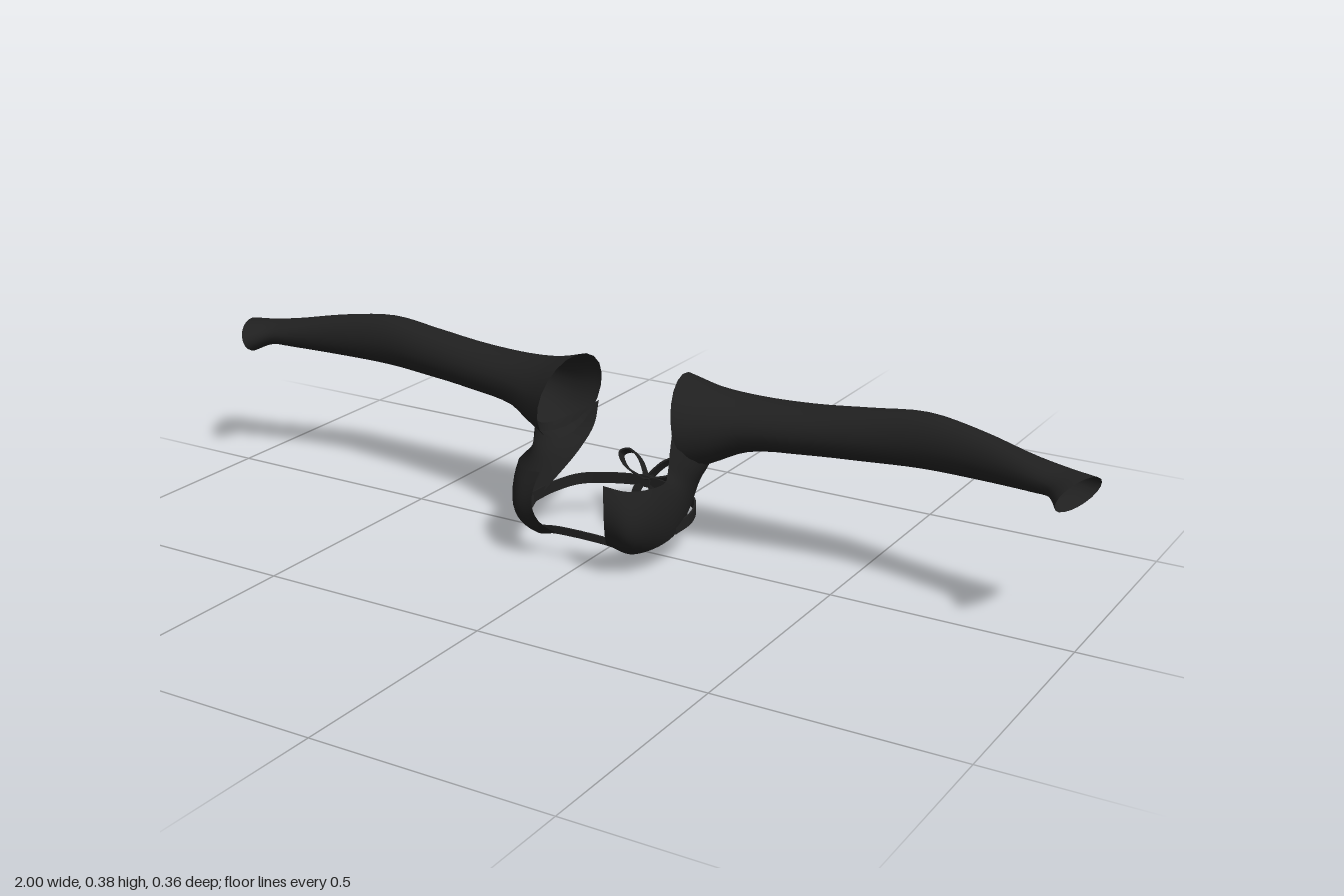
import * as THREE from 'three';
import { toCreasedNormals } from 'three/addons/utils/BufferGeometryUtils.js';

const V = (x, y, z) => new THREE.Vector3(x, y, z);
const fabric = new THREE.MeshStandardMaterial({ color: 0x202020, side: THREE.DoubleSide });
fabric.name = 'black fabric';

// Skin a list of point rows; closed rows wrap round into a tube
function loft(rows, closed) {
  const n = rows[0].length, index = [];
  for (let i = 0; i < rows.length - 1; i++) {
    for (let j = 0; j < (closed ? n : n - 1); j++) {
      const a = i * n + j, b = i * n + (j + 1) % n, c = a + n, d = b + n;
      index.push(a, c, b, b, c, d);
    }
  }
  const g = new THREE.BufferGeometry().setFromPoints(rows.flat());
  g.setIndex(index);
  g.computeVertexNormals();
  return g;
}

// Smooth the rows along their length
function smoothRows(rows, steps) {
  const curves = rows[0].map((_, j) => new THREE.CatmullRomCurve3(rows.map(r => r[j]), false, 'centripetal'));
  return Array.from({ length: steps + 1 }, (_, i) => curves.map(c => c.getPoint(i / steps)));
}

// Thin strip following a path, its width lying along one direction
function ribbon(points, across, width, steps = 20) {
  const curve = new THREE.CatmullRomCurve3(points);
  const rows = [];
  for (let i = 0; i <= steps; i++) {
    const p = curve.getPoint(i / steps), t = curve.getTangent(i / steps);
    const normal = t.clone().cross(across).normalize().multiplyScalar(0.002);
    const w = across.clone().normalize().multiplyScalar(width / 2);
    rows.push([[1, 1], [1, -1], [-1, -1], [-1, 1]].map(([a, b]) =>
      p.clone().addScaledVector(w, a).addScaledVector(normal, b)));
  }
  return toCreasedNormals(loft(rows, true), 0.8);
}

// Sleeve rings: x, top, bottom, back, front, x skew at front, x skew at bottom
const sleeveRings = [
  [0.145, 0.38, 0.19, -0.16, 0.042, 0.015, 0.018],
  [0.2, 0.36, 0.205, -0.158, 0.02, 0.008, 0.005],
  [0.28, 0.35, 0.238, -0.157, -0.008, 0, 0],
  [0.4, 0.352, 0.25, -0.155, -0.03, 0, 0],
  [0.52, 0.364, 0.257, -0.152, -0.045, 0, 0],
  [0.64, 0.377, 0.265, -0.145, -0.052, 0, 0],
  [0.76, 0.366, 0.272, -0.12, -0.04, 0, 0],
  [0.88, 0.345, 0.28, -0.095, -0.012, 0, 0],
  [0.935, 0.337, 0.283, -0.085, 0.004, -0.01, -0.005],
  [0.976, 0.336, 0.27, -0.08, 0.043, -0.021, -0.012],
];
const sleeveRows = sleeveRings.map(([x, top, bottom, back, front, sz, sy]) =>
  Array.from({ length: 20 }, (_, k) => {
    const c = Math.cos(k * Math.PI / 10), s = Math.sin(k * Math.PI / 10);
    return V(x + sz * c - sy * s,
      (top + bottom) / 2 + (top - bottom) / 2 * s,
      (front + back) / 2 + (front - back) / 2 * c);
  }));

// Side panel and cup: upper edge, middle, lower edge, from armpit to chest
const panelRows = [
  [V(0.16, 0.285, 0.041), V(0.2, 0.218, -0.055), V(0.135, 0.25, -0.159)],
  [V(0.16, 0.245, 0.05), V(0.192, 0.195, -0.035), V(0.14, 0.197, -0.148)],
  [V(0.162, 0.21, 0.06), V(0.182, 0.17, -0.005), V(0.15, 0.15, -0.1)],
  [V(0.168, 0.198, 0.08), V(0.18, 0.14, 0.06), V(0.17, 0.075, 0.035)],
  [V(0.157, 0.195, 0.12), V(0.166, 0.12, 0.125), V(0.15, 0.056, 0.095)],
  [V(0.12, 0.192, 0.15), V(0.132, 0.11, 0.17), V(0.11, 0.045, 0.12)],
  [V(0.075, 0.2, 0.165), V(0.085, 0.12, 0.178), V(0.06, 0.058, 0.128)],
].map(([a, m, b]) => {
  const control = m.clone().multiplyScalar(2).addScaledVector(a, -0.5).addScaledVector(b, -0.5);
  return new THREE.QuadraticBezierCurve3(a, control, b).getPoints(10);
});

function createSide() {
  const side = new THREE.Group();
  const add = (name, geometry) => {
    const mesh = new THREE.Mesh(geometry, fabric);
    mesh.name = name;
    side.add(mesh);
  };
  const up = V(0, 1, 0);

  add('sleeve', loft(smoothRows(sleeveRows, 36), true));
  add('cupPanel', loft(smoothRows(panelRows, 30), false));

  // Straps meeting at the centre
  add('backStrap', ribbon([V(0.172, 0.087, 0.045), V(0.168, 0.087, -0.03), V(0.14, 0.091, -0.09),
    V(0.07, 0.096, -0.122), V(0, 0.1, -0.134)], up, 0.024));
  add('frontBand', ribbon([V(0.11, 0.055, 0.12), V(0.06, 0.065, 0.128), V(0, 0.068, 0.131)], up, 0.016));

  // Half of the bow
  add('bowLoop', ribbon([V(0, 0.102, -0.137), V(0.03, 0.136, -0.157), V(0.058, 0.148, -0.165),
    V(0.078, 0.138, -0.16), V(0.058, 0.116, -0.147), V(0, 0.1, -0.135)], V(0, -0.6, -0.8), 0.024, 28));
  add('bowTail', ribbon([V(0.004, 0.1, -0.135), V(0.019, 0.082, -0.129), V(0.024, 0.045, -0.121),
    V(0.031, 0.001, -0.113)], V(1, 0, 0), 0.02));
  return side;
}

export function createModel() {
  const model = new THREE.Group();
  model.name = 'sleevedTop';
  const left = createSide(), right = createSide();
  left.name = 'leftSide';
  right.name = 'rightSide';
  right.scale.x = -1;
  const knot = new THREE.Mesh(new THREE.BoxGeometry(0.022, 0.026, 0.018), fabric);
  knot.name = 'bowKnot';
  knot.position.set(0, 0.1, -0.136);
  model.add(left, right, knot);
  return model;
}
